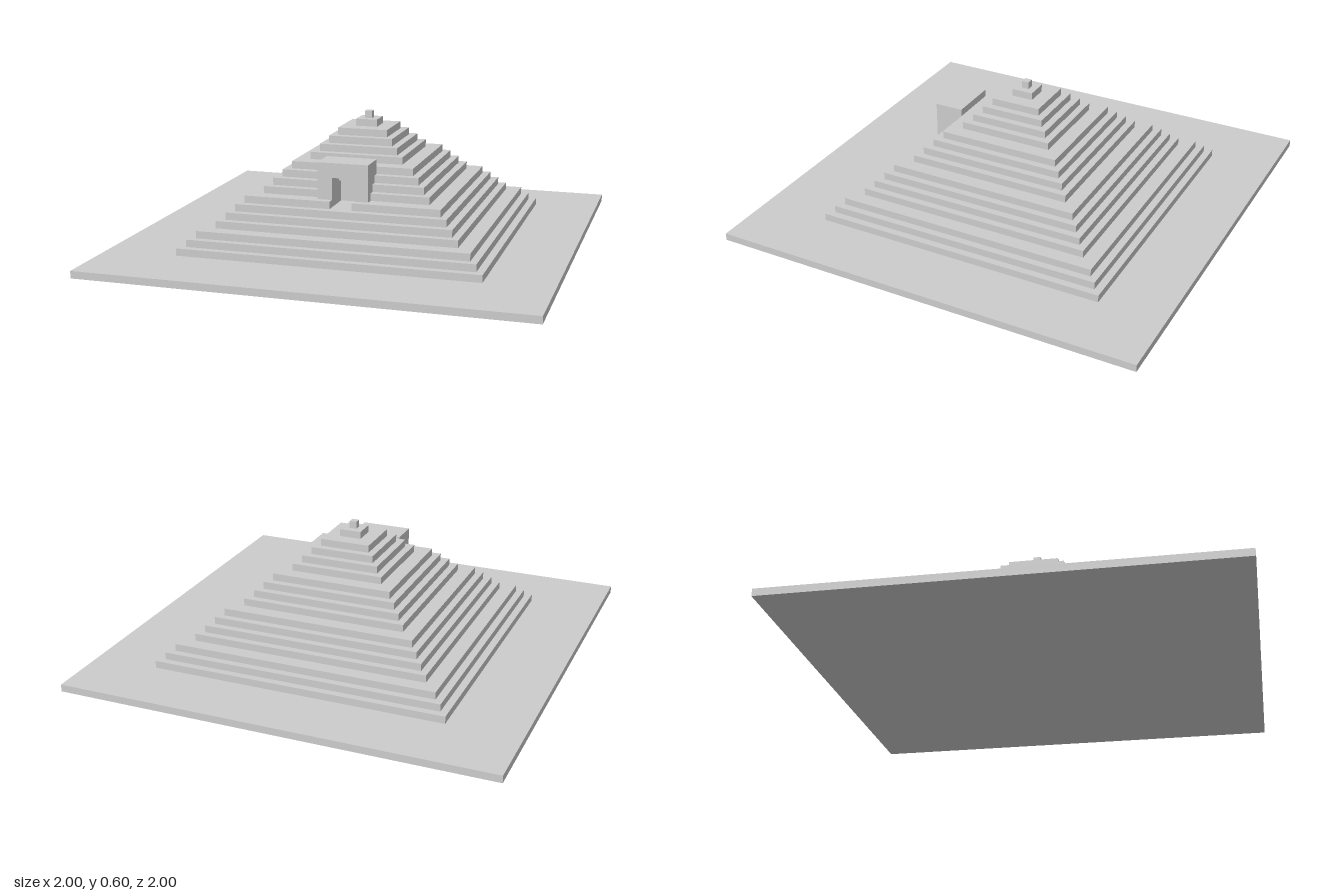
import * as THREE from 'three';

const U = 1 / 30; // one block

export function createModel() {
  const model = new THREE.Group();
  model.name = 'steppedPyramid';
  const material = new THREE.MeshStandardMaterial({ color: 0xcccccc, flatShading: true });

  function add(name, geometry) {
    geometry.scale(U, U, U);
    const mesh = new THREE.Mesh(geometry, material);
    mesh.name = name;
    model.add(mesh);
  }

  function extrude(points, depth) {
    const shape = new THREE.Shape(points.map(([x, y]) => new THREE.Vector2(x, y)));
    return new THREE.ExtrudeGeometry(shape, { depth, bevelEnabled: false });
  }

  // Ground slab
  add('groundSlab', new THREE.BoxGeometry(60, 1, 60).translate(0, 0.5, 0));

  // Terraces, one block high each, set half a block off centre;
  // the ones at the doorway are notched to leave a passage
  const reach = [21, 20, 19, 17, 16, 15, 14, 12, 11, 10, 9, 7, 6, 5, 4, 2, 1];
  const passageBack = 8;
  reach.forEach((r, i) => {
    const y = i + 1;
    const near = 1 - r; // front edge, drawn with -z as the shape's y
    const notch = y >= 7 && y <= 9
      ? [[-1, near], [-1, -passageBack], [2, -passageBack], [2, near]]
      : [];
    const outline = [[near, near], ...notch, [r, near], [r, r], [near, r]];
    add(`terrace${y}`, extrude(outline, 1).rotateX(-Math.PI / 2).translate(0, y, 0));
  });

  // Entrance house with an open doorway
  const arch = [[-3, 8], [-1, 8], [-1, 11], [2, 11], [2, 8], [4, 8], [4, 13], [-3, 13]];
  add('entranceHouse', extrude(arch, 4).translate(0, 0, 8));

  return model;
}
